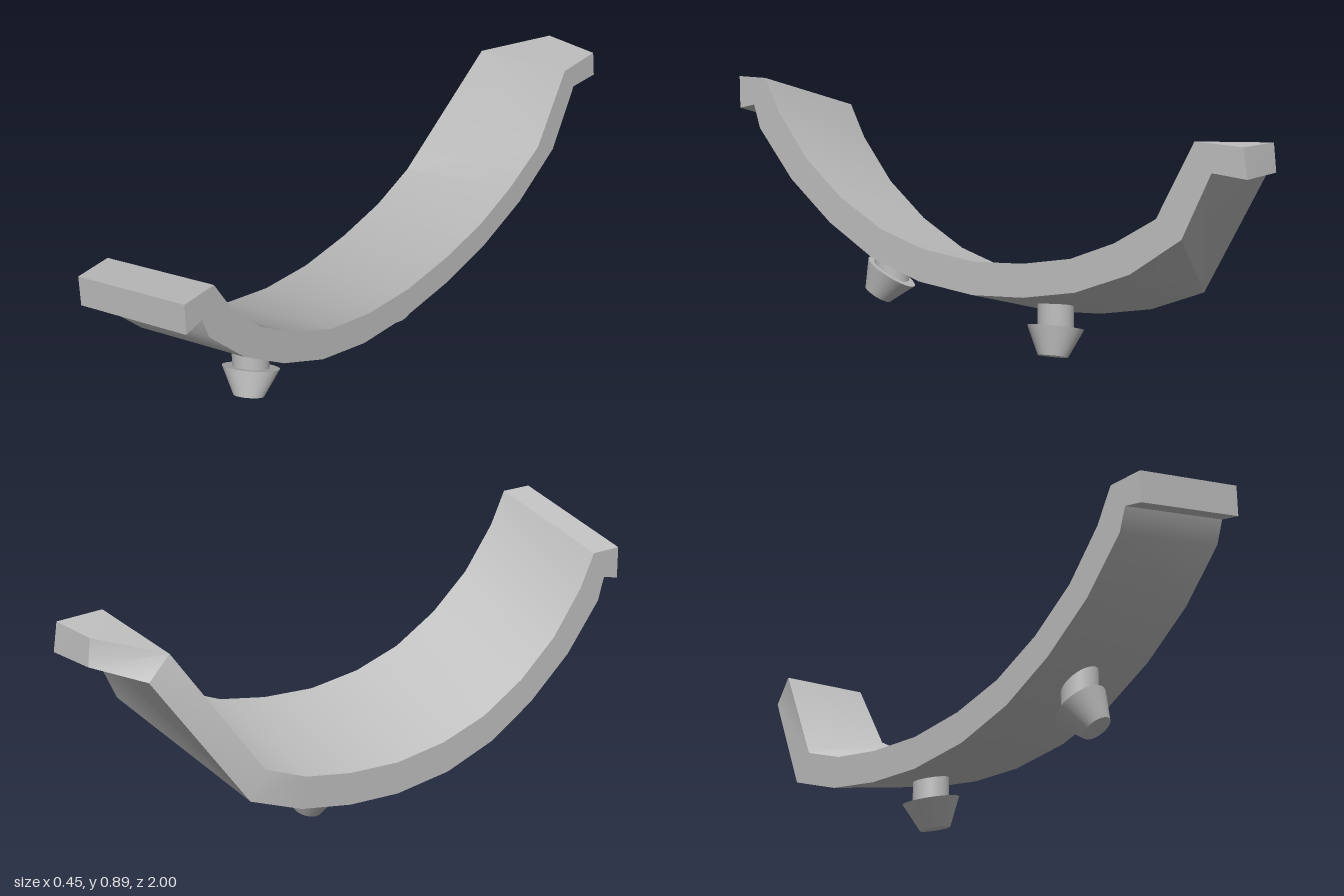
import * as THREE from 'three';
import { toCreasedNormals } from 'three/addons/utils/BufferGeometryUtils.js';

const W = 0.226;      // half width of the strip
const DROP = 0.13;    // the right edge sits lower than the left edge

// Closed solid through four-cornered sections: top left, top right, bottom right, bottom left
function loft(sections) {
  const pos = [];
  const tri = (a, b, c) => {
    const area = b.clone().sub(a).cross(c.clone().sub(a)).length();
    if (area > 1e-7) for (const p of [a, b, c]) pos.push(p.x, p.y, p.z);
  };
  const quad = (a, b, c, d) => { tri(a, b, c); tri(a, c, d); };
  for (let i = 0; i < sections.length - 1; i++) {
    const s = sections[i], t = sections[i + 1];
    for (let j = 0; j < 4; j++) {
      const k = (j + 1) % 4;
      quad(s[j], t[j], t[k], s[k]);
    }
  }
  quad(...sections[0]);
  quad(...[...sections[sections.length - 1]].reverse());
  const g = new THREE.BufferGeometry();
  g.setAttribute('position', new THREE.Float32BufferAttribute(pos, 3));
  return toCreasedNormals(g, 0.6);
}

export function createModel() {
  const group = new THREE.Group();
  const grey = new THREE.MeshStandardMaterial({ color: 0xc0c0c0 });
  grey.name = 'grey plastic';

  const add = (name, geometry, parent = group) => {
    const m = new THREE.Mesh(geometry, grey);
    m.name = name;
    parent.add(m);
    return m;
  };

  // Left edge profile from front to back: top z, y, then bottom z, y
  const profile = [
    [1, 0.885, 1, 0.775], [0.88, 0.885, 0.935, 0.79], [0.82, 0.77, 0.91, 0.71],
    [0.70, 0.62, 0.77, 0.545], [0.55, 0.50, 0.60, 0.41], [0.38, 0.41, 0.42, 0.31],
    [0.20, 0.36, 0.22, 0.25], [0, 0.34, 0, 0.23], [-0.20, 0.355, -0.20, 0.245],
    [-0.38, 0.39, -0.40, 0.285], [-0.54, 0.455, -0.60, 0.365],
    [-0.69, 0.545, -0.78, 0.49], [-0.82, 0.79, -0.88, 0.70], [-0.985, 0.785, -1, 0.69],
  ];
  // Right edge where the back corner is cut away: top point, bottom point
  const cut = {
    11: [[-W, 0.325, -0.54], [-W, 0.235, -0.60]],
    12: [[-0.12, 0.735, -0.81], [-0.11, 0.655, -0.88]],
    13: [[0.04, 0.78, -0.985], [0.04, 0.69, -0.995]],
  };
  const sections = profile.map(([tz, ty, bz, by], i) => {
    const [top, bottom] = cut[i] ?? [[-W, ty - DROP, tz], [-W, by - DROP, bz]];
    return [[W, ty, tz], top, bottom, [W, by, bz]].map((p) => new THREE.Vector3(...p));
  });
  add('curvedStrip', loft(sections));

  // Push-in pegs: upright stem with a tilted tapered head
  const pegs = [
    { name: 'frontPeg', ring: [0, 0.215, 0.516], tip: [0.026, 0.135, 0.558], top: 0.36 },
    { name: 'backPeg', ring: [0, 0.105, -0.172], tip: [0.027, 0.014, -0.18], top: 0.22 },
  ];
  for (const { name, ring, tip, top } of pegs) {
    const peg = new THREE.Group();
    peg.name = name;
    group.add(peg);
    const a = new THREE.Vector3(...ring), b = new THREE.Vector3(...tip);
    const axis = a.clone().sub(b);
    const head = add('pegHead', new THREE.CylinderGeometry(0.094, 0.05, axis.length(), 32), peg);
    head.position.copy(a).add(b).multiplyScalar(0.5);
    head.quaternion.setFromUnitVectors(new THREE.Vector3(0, 1, 0), axis.normalize());
    const low = a.y - 0.03;
    const stem = add('pegStem', new THREE.CylinderGeometry(0.06, 0.06, top - low, 32), peg);
    stem.position.set(a.x, (top + low) / 2, a.z);
  }
  return group;
}
